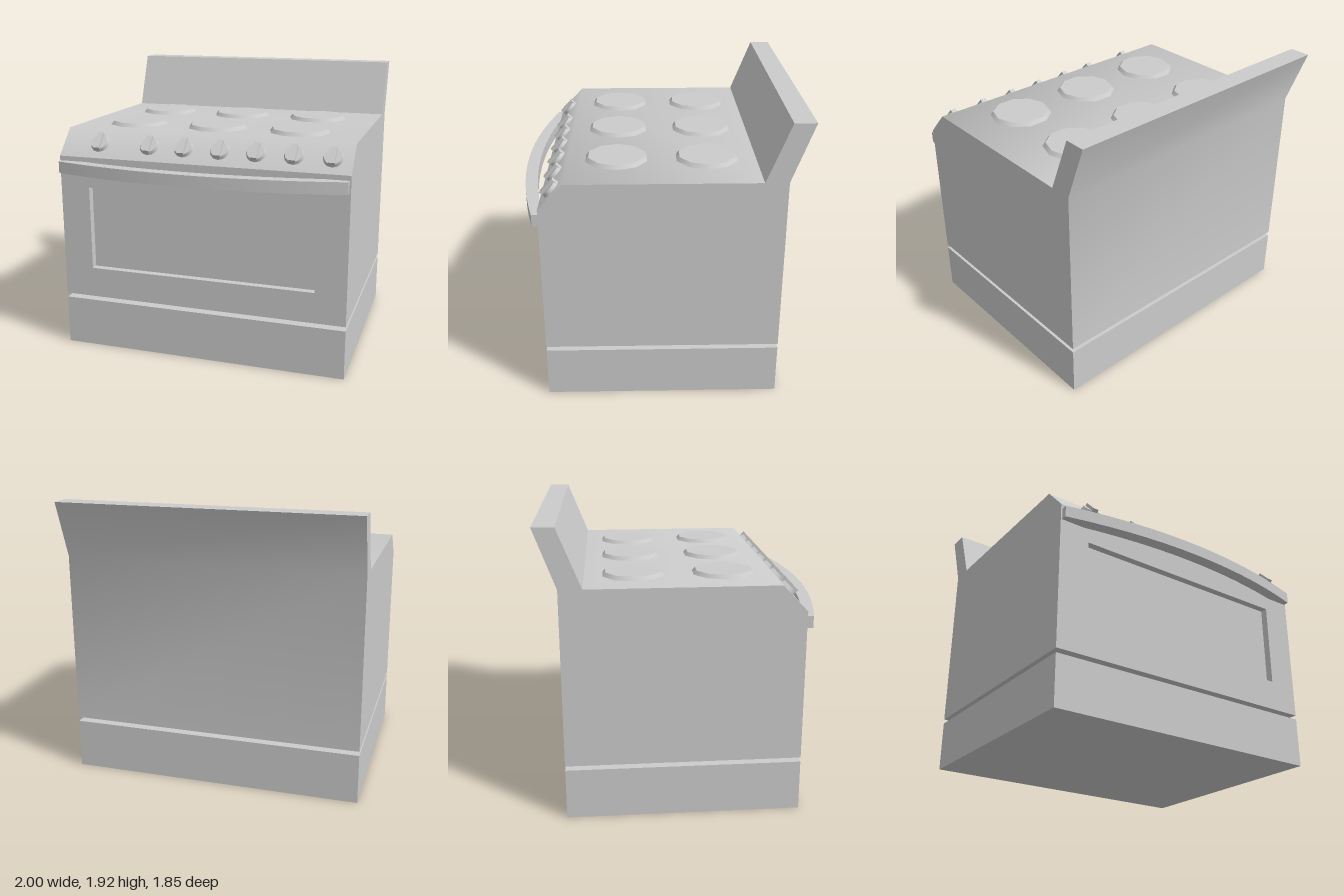
import * as THREE from 'three';
import { toCreasedNormals } from 'three/addons/utils/BufferGeometryUtils.js';

const material = new THREE.MeshStandardMaterial({ color: 0xcccccc });

function add(parent, name, geometry, x = 0, y = 0, z = 0) {
  const mesh = new THREE.Mesh(geometry, material);
  mesh.name = name;
  mesh.position.set(x, y, z);
  parent.add(mesh);
  return mesh;
}

const toShape = (points) => new THREE.Shape(points.map(([x, y]) => new THREE.Vector2(x, y)));
const extrude = (shape, depth) => new THREE.ExtrudeGeometry(shape, { depth, bevelEnabled: false });

export function createModel() {
  const stove = new THREE.Group();
  stove.name = 'stove';

  const front = 0.76, back = -0.78, doorBack = 0.71;

  // Base drawer and the recessed plinth between it and the oven
  add(stove, 'baseDrawer', new THREE.BoxGeometry(2, 0.34, front - back), 0, 0.17, (front + back) / 2);
  add(stove, 'recessedGap', new THREE.BoxGeometry(1.76, 0.05, 1.3), 0, 0.355, -0.01);

  // Oven body: side profile (z, y) with control slope and leaning backsplash
  const profile = toShape([
    [doorBack, 0.37], [doorBack, 1.37], [front, 1.37], [0.6, 1.54], [-0.63, 1.54],
    [-0.78, 1.92], [-0.92, 1.92], [back, 1.54], [back, 0.37],
  ]);
  const body = extrude(profile, 2).translate(0, 0, -1).rotateY(-Math.PI / 2);
  add(stove, 'ovenBody', toCreasedNormals(body, 0.9));

  // Oven door with a sunken window
  const door = toShape([[-1, 0.37], [1, 0.37], [1, 1.37], [-1, 1.37]]);
  door.holes.push(toShape([[-0.79, 0.58], [-0.79, 1.16], [0.79, 1.16], [0.79, 0.58]]));
  add(stove, 'ovenDoor', extrude(door, front - doorBack), 0, 0, doorBack);

  // Bowed door handle, its ends running into the door
  const outer = [], inner = [], steps = 14;
  for (let i = 0; i <= steps; i++) {
    const t = -1 + (2 * i) / steps;
    outer.push([0.99 * t, 0.925 - 0.125 * t * t]);
    inner.push([0.99 * t, 0.84 - 0.115 * t * t]);
  }
  const handle = extrude(toShape([...inner, ...outer.reverse()]), 0.08).rotateX(Math.PI / 2);
  add(stove, 'doorHandle', toCreasedNormals(handle, 0.6), 0, 1.338, 0);

  // Six ten-sided hot plates
  const plate = new THREE.CylinderGeometry(0.19, 0.21, 0.025, 10).rotateY(Math.PI / 2);
  for (const z of [-0.31, 0.28]) {
    for (const x of [-0.61, -0.02, 0.565]) add(stove, 'hotPlate', plate, x, 1.5525, z);
  }

  // Control knobs standing square to the slope
  const disc = new THREE.CylinderGeometry(0.058, 0.067, 0.024, 12);
  const grip = new THREE.BoxGeometry(0.04, 0.044, 0.12);
  for (const x of [-0.73, -0.37, -0.125, 0.125, 0.37, 0.62, 0.87]) {
    const knob = new THREE.Group();
    knob.name = 'controlKnob';
    knob.position.set(x, 1.455, 0.68);
    knob.rotation.x = Math.atan2(0.17, 0.16);
    add(knob, 'knobDisc', disc, 0, 0.012, 0);
    add(knob, 'knobGrip', grip, 0, 0.022, 0);
    stove.add(knob);
  }

  return stove;
}
